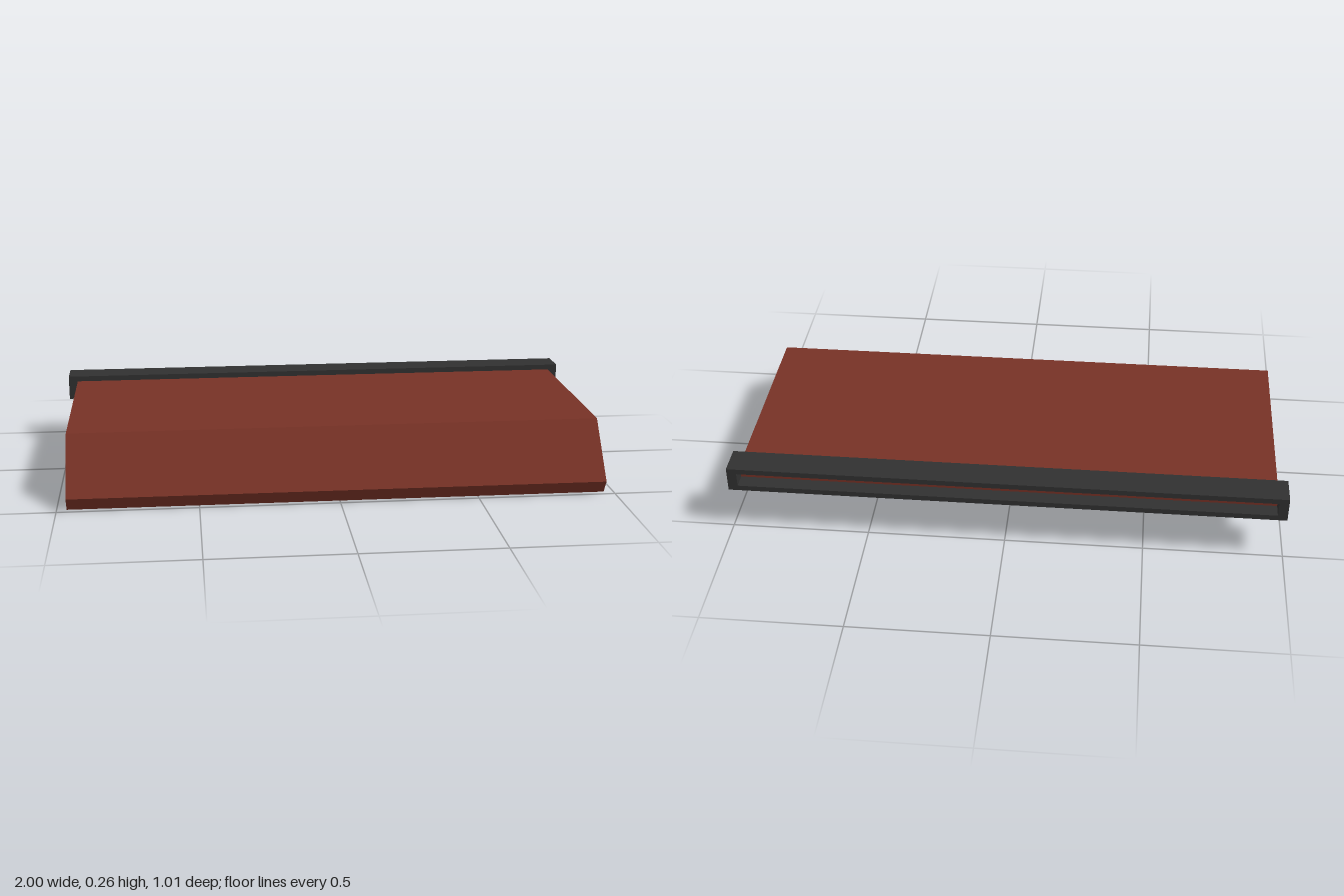
import * as THREE from 'three';

export function createModel() {
  const model = new THREE.Group();
  const red = new THREE.MeshStandardMaterial({ name: 'brick red', color: 0x773226 });
  const black = new THREE.MeshStandardMaterial({ name: 'charcoal', color: 0x313131 });

  // Bent panel: side profile in (z, y), extruded along the width
  const halfWidth = 0.965;
  const profile = [
    [0.505, 0.048], [0.475, 0], [0.32, 0.188], [-0.45, 0.188], [-0.45, 0.24], [0.344, 0.24],
  ];
  const side = new THREE.Shape(profile.map(([z, y]) => new THREE.Vector2(-z, y)));
  const panelGeometry = new THREE.ExtrudeGeometry(side, { depth: 2 * halfWidth, bevelEnabled: false });
  panelGeometry.translate(0, 0, -halfWidth).rotateY(Math.PI / 2);
  const panel = new THREE.Mesh(panelGeometry, red);
  panel.name = 'bentPanel';
  model.add(panel);

  // Open rectangular frame sleeved over the rear edge of the panel
  const rectangle = (Type, x, y0, y1) => new Type([
    new THREE.Vector2(-x, y0), new THREE.Vector2(x, y0),
    new THREE.Vector2(x, y1), new THREE.Vector2(-x, y1),
  ]);
  const outline = rectangle(THREE.Shape, 1, 0.168, 0.26);
  outline.holes.push(rectangle(THREE.Path, halfWidth, 0.188, 0.24));
  const frameGeometry = new THREE.ExtrudeGeometry(outline, { depth: 0.11, bevelEnabled: false });
  frameGeometry.translate(0, 0, -0.505);
  const frame = new THREE.Mesh(frameGeometry, black);
  frame.name = 'rearFrame';
  model.add(frame);

  return model;
}
